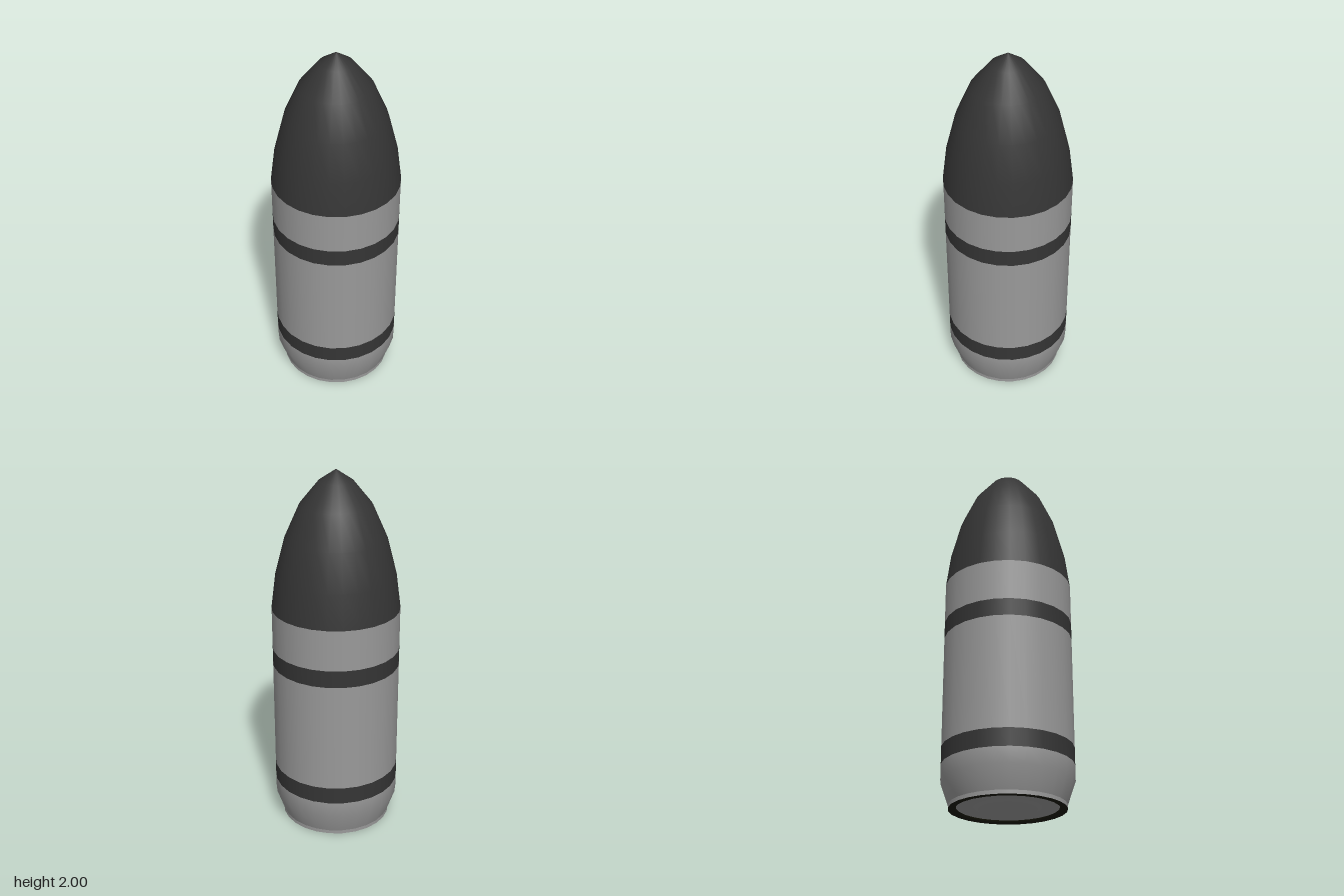
import * as THREE from 'three';

const SIDES = 26;
const R = 0.347;

export function createModel() {
  const group = new THREE.Group();
  group.name = 'shell';

  const mat = (name, color) => {
    const m = new THREE.MeshStandardMaterial({ color });
    m.name = name;
    return m;
  };
  const casingGrey = mat('casing grey', 0x999999);
  const charcoal = mat('charcoal', 0x353535);
  const rimBlack = mat('rim black', 0x1a1a0c);

  // Turned section: profile points [radius, y], listed from the bottom centre outwards and up
  const turn = (name, material, ...points) => {
    const profile = points.map(([r, y]) => new THREE.Vector2(r, y));
    const mesh = new THREE.Mesh(new THREE.LatheGeometry(profile, SIDES), material);
    mesh.name = name;
    group.add(mesh);
  };

  // Underside: raised centre boss, inset base plate and dark rim
  turn('primerCap', casingGrey, [0, 0.002], [0.15, 0.002]);
  turn('primerBevel', casingGrey, [0.15, 0.002], [0.177, 0.012]);
  turn('basePlate', casingGrey, [0.177, 0.012], [0.265, 0.012]);
  turn('baseRim', rimBlack, [0.265, 0.012], [0.27, 0], [0.305, 0]);

  // Casing with flush painted bands
  turn('baseLip', casingGrey, [0.305, 0], [0.305, 0.02]);
  turn('taperedBase', casingGrey, [0.305, 0.02], [R, 0.14], [R, 0.225]);
  turn('lowerBand', charcoal, [R, 0.225], [R, 0.32]);
  turn('casing', casingGrey, [R, 0.32], [R, 0.93]);
  turn('upperBand', charcoal, [R, 0.93], [R, 1.025]);
  turn('casingNeck', casingGrey, [R, 1.025], [R, 1.25]);

  // Pointed nose
  turn('nose', charcoal, [R, 1.25], [0.322, 1.44], [0.27, 1.64], [0.192, 1.815], [0.09, 1.94], [0, 2]);

  return group;
}
